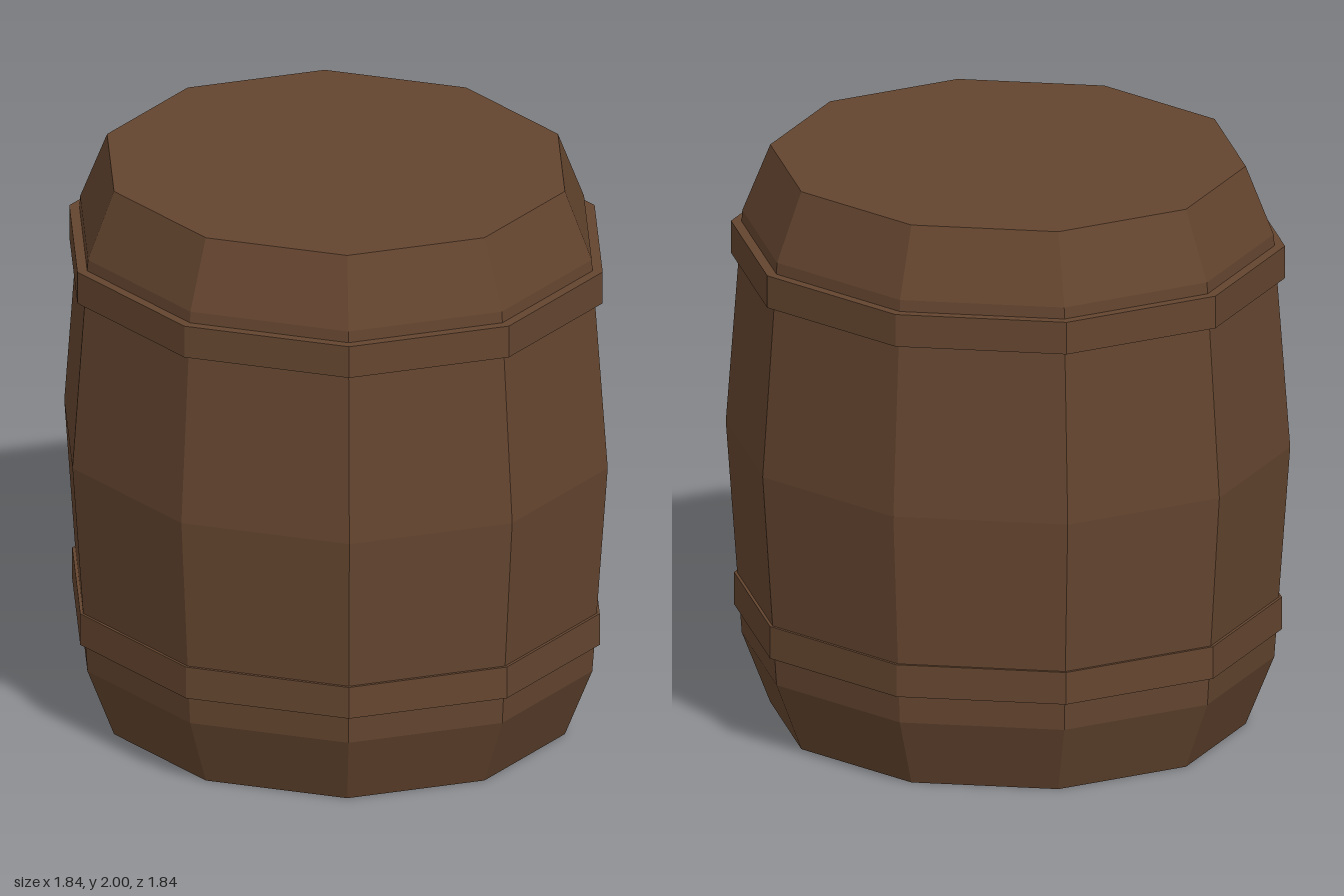
import * as THREE from 'three';

const SIDES = 10;
const DEPTH = 0.951; // squashes z so width and depth match

export function createModel() {
  const group = new THREE.Group();
  group.name = 'barrel';
  const wood = new THREE.MeshStandardMaterial({ color: 0x64452f, flatShading: true });
  wood.name = 'brown wood';

  // Ten-sided turned part; profile is [half width, height] from bottom to top
  function turned(name, profile) {
    const points = profile.map(([w, y]) => new THREE.Vector2(w / Math.sin(Math.PI * 0.4), y));
    const geometry = new THREE.LatheGeometry(points, SIDES);
    geometry.scale(1, 1, DEPTH);
    const mesh = new THREE.Mesh(geometry, wood);
    mesh.name = name;
    group.add(mesh);
  }

  // Bulging body with closed ends
  turned('body', [
    [0, 0], [0.775, 0], [0.868, 0.245], [0.92, 1], [0.866, 1.76], [0.775, 2], [0, 2],
  ]);

  // Hoops, solid rings set into the body
  const hoop = (name, w, y0, y1) => turned(name, [[0.84, y0], [w, y0], [w, y1], [0.84, y1]]);
  hoop('lowerHoop', 0.893, 0.345, 0.46);
  hoop('upperHoop', 0.903, 1.605, 1.72);

  return group;
}
